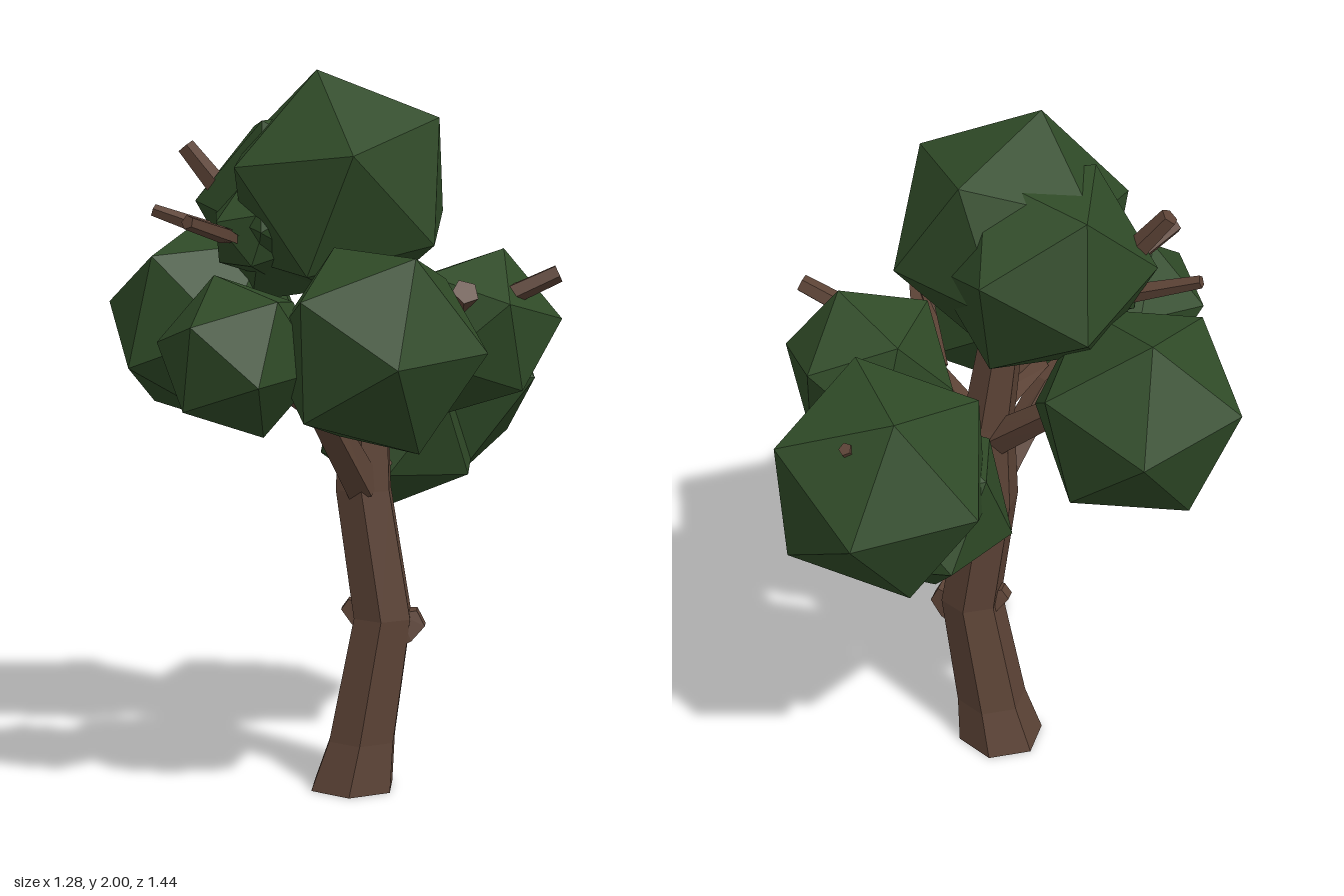
import * as THREE from 'three';

const bark = new THREE.MeshStandardMaterial({ color: 0x5c4336, flatShading: true });
const leaf = new THREE.MeshStandardMaterial({ color: 0x2f4a27, flatShading: true });
const V = (p) => new THREE.Vector3(...p);

// Tapered faceted limb swept through points [x, y, z, radius]
function limb(name, points, sides = 6, level = false) {
  const pos = [], index = [];
  const centres = points.map((p) => new THREE.Vector3(p[0], p[1], p[2]));
  const n = points.length;
  centres.forEach((c, i) => {
    const t = level ? V([0, 1, 0])
      : centres[Math.min(i + 1, n - 1)].clone().sub(centres[Math.max(i - 1, 0)]).normalize();
    const ref = Math.abs(t.z) < 0.75 ? V([0, 0, 1]) : V([0, 1, 0]);
    const u = ref.cross(t).normalize();
    const v = t.clone().cross(u);
    for (let k = 0; k < sides; k++) {
      const a = ((k + 0.5) / sides) * Math.PI * 2;
      const q = c.clone()
        .addScaledVector(u, Math.cos(a) * points[i][3])
        .addScaledVector(v, Math.sin(a) * points[i][3]);
      pos.push(q.x, q.y, q.z);
    }
  });
  for (let i = 0; i < n - 1; i++) {
    for (let k = 0; k < sides; k++) {
      const a = i * sides + k, b = i * sides + (k + 1) % sides;
      index.push(a, b, b + sides, a, b + sides, a + sides);
    }
  }
  const top = (n - 1) * sides;
  for (let k = 1; k < sides - 1; k++) index.push(0, k + 1, k, top, top + k, top + k + 1);
  const geo = new THREE.BufferGeometry();
  geo.setAttribute('position', new THREE.Float32BufferAttribute(pos, 3));
  geo.setIndex(index);
  geo.computeVertexNormals();
  const mesh = new THREE.Mesh(geo, bark);
  mesh.name = name;
  return mesh;
}

// Orthonormal frame from a main direction and a side direction
function frame(a, b) {
  const x = a.clone().normalize();
  const z = x.clone().cross(b).normalize();
  return new THREE.Matrix4().makeBasis(x, z.clone().cross(x), z);
}

// Icosahedron turned so that one corner points along a and a neighbour towards b
const phi = (1 + Math.sqrt(5)) / 2;
const cornerFrame = frame(V([1, phi, 0]), V([-1, phi, 0])).transpose();
function clump(name, centre, radius, a, b) {
  const turn = frame(V(a), V(b)).multiply(cornerFrame);
  const geo = new THREE.IcosahedronGeometry(radius, 0).applyMatrix4(turn);
  const mesh = new THREE.Mesh(geo, leaf);
  mesh.position.set(...centre);
  mesh.name = name;
  return mesh;
}

export function createModel() {
  const tree = new THREE.Group();
  tree.name = 'tree';

  // Trunk with a flared foot and a bend
  tree.add(limb('trunk', [
    [0.07, 0, 0.02, 0.127], [0.098, 0.14, 0.02, 0.103], [0.155, 0.49, 0.018, 0.09],
    [0.1, 0.85, 0.015, 0.085], [0.1, 1.1, 0.015, 0.075], [0.03, 1.6, 0.03, 0.05],
  ], 6, true));

  // Cut stubs on the bend
  tree.add(limb('leftStub', [[0.17, 0.45, 0.02, 0.07], [0.22, 0.468, 0.02, 0.06], [0.262, 0.49, 0.02, 0.035]], 4));
  tree.add(limb('rightStub', [[0.14, 0.48, 0.02, 0.065], [0.085, 0.5, 0.02, 0.045], [0.05, 0.525, 0.02, 0.025]], 4));

  // Boughs from the trunk into the leaf clumps
  const boughs = {
    frontBough: [[0.1, 0.86, 0.05, 0.055], [-0.01, 1.11, 0.23, 0.045], [-0.18, 1.25, 0.45, 0.03]],
    frontLeftBough: [[0.08, 1.14, 0.05, 0.045], [0.03, 1.16, 0.24, 0.04], [0.15, 1.25, 0.42, 0.03]],
    backBough: [[0.1, 0.86, -0.02, 0.05], [0.18, 0.98, -0.2, 0.04], [0.25, 1.1, -0.38, 0.03], [0.3, 1.33, -0.58, 0.018]],
    rightBough: [[0.08, 1.05, 0, 0.05], [-0.1, 1.2, -0.06, 0.04], [-0.3, 1.3, -0.12, 0.03]],
    leftBough: [[0.11, 1.05, 0.01, 0.05], [0.28, 1.24, 0.02, 0.04], [0.48, 1.38, 0.02, 0.03], [0.63, 1.45, 0.015, 0.026]],
  };
  for (const [name, pts] of Object.entries(boughs)) tree.add(limb(name, pts, 5));

  // Bare twigs poking out of the crown
  const twigs = [
    [[0.27, 1.22, 0.05, 0.044], [0.33, 1.31, 0.16, 0.04], [0.385, 1.42, 0.3, 0.038]],
    [[-0.15, 1.52, 0.08, 0.03], [-0.26, 1.56, 0.21, 0.024], [-0.34, 1.6, 0.34, 0.02]],
    [[-0.15, 1.5, 0.02, 0.03], [-0.32, 1.56, 0.02, 0.025], [-0.48, 1.615, 0.015, 0.018]],
    [[-0.15, 1.55, 0.02, 0.035], [-0.31, 1.69, 0.015, 0.032], [-0.39, 1.79, 0.015, 0.026]],
  ];
  for (const pts of twigs) tree.add(limb('twig', pts, 5));

  // Leaf clumps: centre, radius, corner direction, neighbouring corner direction
  const clumps = [
    ['topClump', [0.04, 1.675, 0.05], 0.334, [-0.06, 0.32, 0.07], [0.06, 0.075, 0.31]],
    ['frontLeftClump', [0.16, 1.28, 0.435], 0.295, [0.27, 0, 0.06], [0.1, -0.02, 0.27]],
    ['frontRightClump', [-0.19, 1.265, 0.48], 0.218, [-0.06, 0.19, -0.02], [-0.2, 0, -0.015]],
    ['rightClump', [-0.35, 1.29, -0.13], 0.3, [-0.28, 0.055, -0.05], [-0.06, 0.25, -0.115]],
    ['leftClump', [0.405, 1.28, -0.09], 0.241, [0.235, 0.035, 0], [0.06, 0.22, -0.01]],
    ['backClump', [0.27, 1.13, -0.39], 0.327, [-0.02, -0.02, -0.31], [-0.09, 0.27, -0.14]],
    ['lowerBackClump', [0.19, 1, -0.285], 0.252, [-0.03, -0.24, -0.02], [-0.22, -0.06, 0.05]],
    ['upperBackClump', [-0.07, 1.63, -0.045], 0.3, [-0.18, 0.25, -0.17], [0.12, 0.02, -0.25]],
    ['smallClump', [-0.18, 1.57, 0.08], 0.145, [-0.03, 0.13, 0.03], [-0.1, 0.03, 0.09]],
  ];
  for (const c of clumps) tree.add(clump(...c));

  return tree;
}
